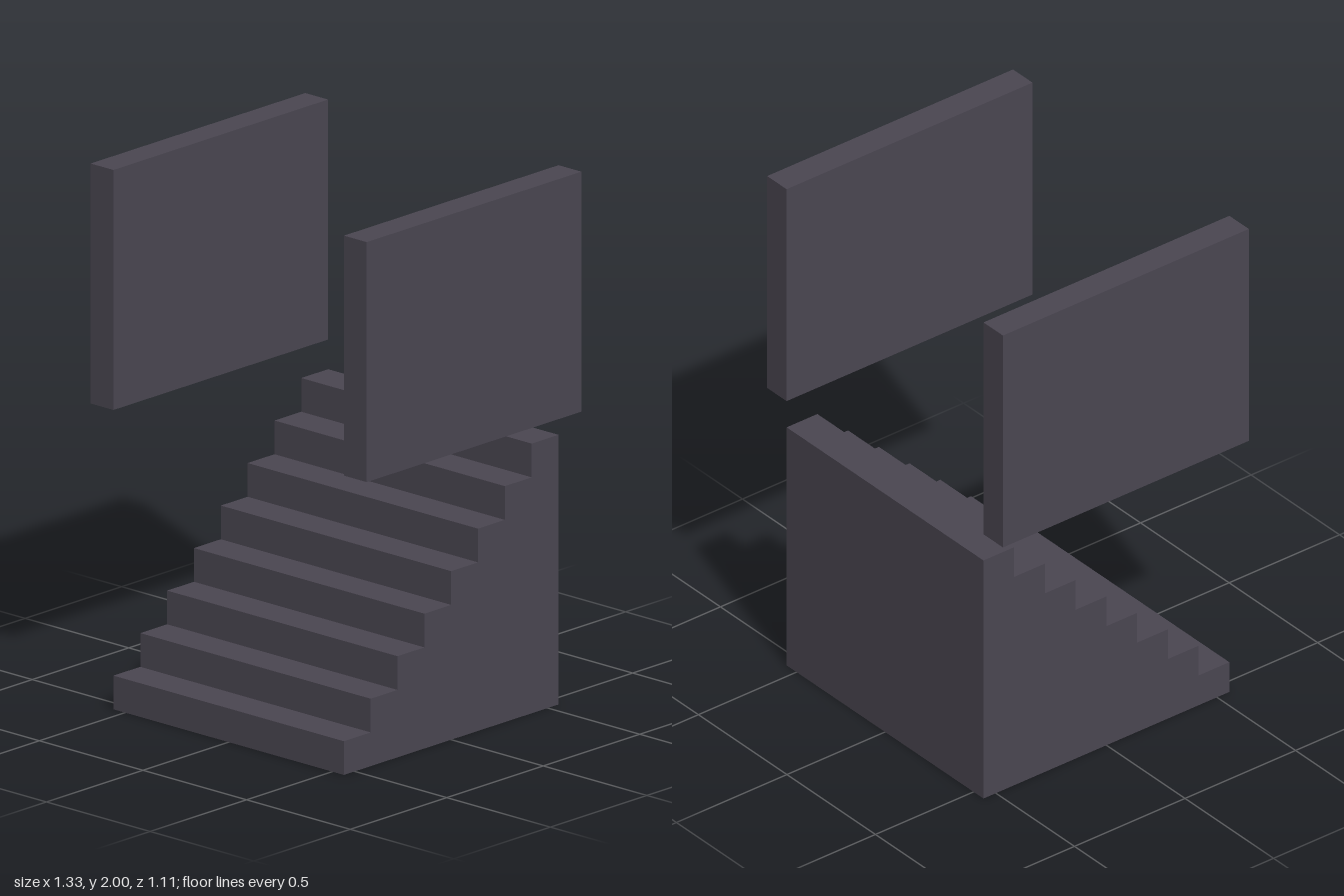
import * as THREE from 'three';

const STEPS = 8;
const HALF = 0.556; // half width and half depth of the staircase
const HEIGHT = 1;
const WALL = { thickness: 0.11, bottom: 1.11, top: 2 };

export function createModel() {
  const model = new THREE.Group();
  model.name = 'staircase';
  const stone = new THREE.MeshStandardMaterial({ color: 0x4a4651 });
  stone.name = 'darkStone';

  // Solid stair block: stepped side profile (z, y), rising toward the back
  const run = (2 * HALF) / STEPS;
  const rise = HEIGHT / STEPS;
  const profile = new THREE.Shape();
  profile.moveTo(-HALF, 0);
  profile.lineTo(HALF, 0);
  for (let i = 0; i < STEPS; i++) {
    profile.lineTo(HALF - i * run, (i + 1) * rise);
    profile.lineTo(HALF - (i + 1) * run, (i + 1) * rise);
  }
  profile.closePath();
  const stairGeometry = new THREE.ExtrudeGeometry(profile, { depth: 2 * HALF, bevelEnabled: false });
  stairGeometry.translate(0, 0, -HALF).rotateY(-Math.PI / 2);
  const stairs = new THREE.Mesh(stairGeometry, stone);
  stairs.name = 'stairs';
  model.add(stairs);

  // Upper side walls, one on each side of the stairwell
  const wallHeight = WALL.top - WALL.bottom;
  const wallGeometry = new THREE.BoxGeometry(WALL.thickness, wallHeight, 2 * HALF);
  for (const side of [-1, 1]) {
    const wall = new THREE.Mesh(wallGeometry, stone);
    wall.name = side > 0 ? 'leftWall' : 'rightWall';
    wall.position.set(side * (HALF + WALL.thickness / 2), WALL.bottom + wallHeight / 2, 0);
    model.add(wall);
  }
  return model;
}
